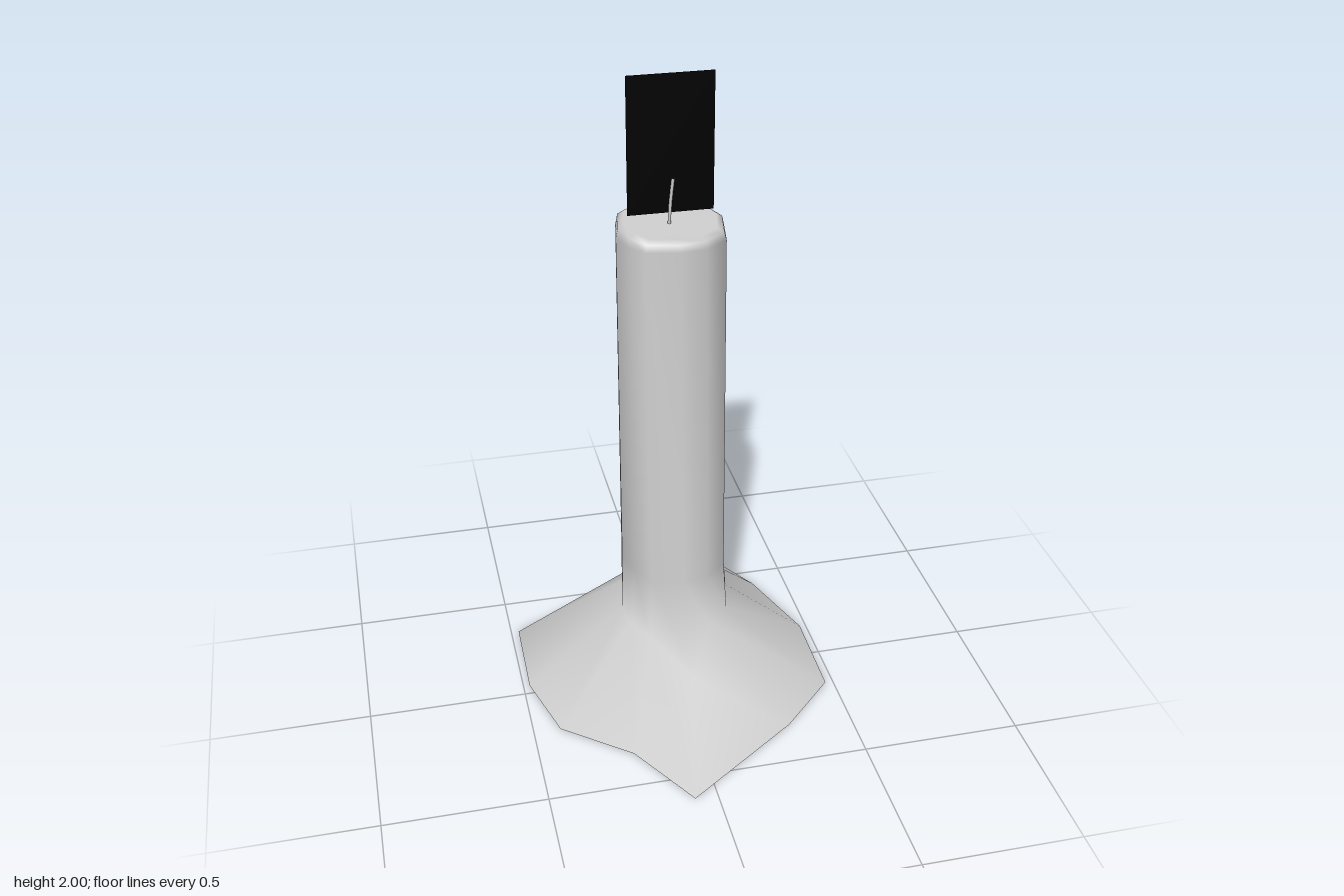
import * as THREE from 'three';

// Columns around the candle, clockwise from the back: [x, z] per level, knee also has y
const skirt = [[0.06, -0.6], [0.29, -0.59], [0.385, -0.43], [0.48, -0.15], [0.475, 0.16], [0.3, 0.335],
  [-0.07, 0.595], [-0.21, 0.36], [-0.415, 0.195], [-0.48, -0.04], [-0.475, -0.335]];
const knee = [[0, 0.26, -0.315], [0.085, 0.26, -0.315], [0.155, 0.25, -0.275], [0.21, 0.22, -0.15],
  [0.185, 0.21, -0.04], [0.11, 0.21, 0.03], [0.02, 0.13, 0.19], [-0.09, 0.19, 0.03],
  [-0.135, 0.19, -0.06], [-0.145, 0.19, -0.14], [-0.125, 0.22, -0.25]];
const shaft = [[-0.01, -0.315], [0.08, -0.312], [0.145, -0.275], [0.19, -0.17], [0.17, -0.06], [0.1, -0.01],
  [0.02, 0], [-0.08, -0.02], [-0.12, -0.07], [-0.143, -0.145], [-0.125, -0.245]];
const cx = 0.025, cz = -0.16;

// Joins rings of points into one smooth skin, closed by a centre point on top
function loft(rings, tip) {
  const n = rings[0].length, index = [];
  for (let r = 0; r < rings.length - 1; r++) {
    for (let i = 0; i < n; i++) {
      const a = r * n + i, b = r * n + (i + 1) % n;
      index.push(a, a + n, b + n, a, b + n, b);
    }
  }
  const last = (rings.length - 1) * n;
  for (let i = 0; i < n; i++) index.push(last + i, rings.length * n, last + (i + 1) % n);
  const geometry = new THREE.BufferGeometry();
  geometry.setAttribute('position', new THREE.Float32BufferAttribute([...rings.flat(2), ...tip], 3));
  geometry.setIndex(index);
  geometry.computeVertexNormals();
  return geometry;
}

export function createModel() {
  const group = new THREE.Group();
  const grey = new THREE.MeshStandardMaterial({ color: 0xcccccc, side: THREE.DoubleSide });
  const black = new THREE.MeshStandardMaterial({ color: 0x000000, side: THREE.DoubleSide });
  const add = (name, geometry, material) => {
    const mesh = new THREE.Mesh(geometry, material);
    mesh.name = name;
    group.add(mesh);
    return mesh;
  };

  // Wax: open melted skirt, leaning shaft, rounded rim and a shallow pool
  const ring = (y, scale, slope = 0) => shaft.map(([x, z]) =>
    [cx + (x - cx) * scale, y - slope * (z - cz), cz + (z - cz) * scale]);
  const neck = shaft.map(([x, z]) => [x, 0.4, z + 0.05 * Math.max(0, (z - cz) / 0.16)]);
  add('wax', loft([
    skirt.map(([x, z]) => [x, 0, z]),
    knee,
    neck,
    ring(1.52, 1),
    ring(1.55, 0.96, 0.06),
    ring(1.563, 0.84, 0.08),
  ], [cx, 1.545, cz]), grey);

  // Wick, slightly bent
  const wickPath = new THREE.CatmullRomCurve3([
    new THREE.Vector3(0.02, 1.54, cz), new THREE.Vector3(0.024, 1.61, cz), new THREE.Vector3(0.032, 1.685, cz)]);
  add('wick', new THREE.TubeGeometry(wickPath, 4, 0.005, 5), grey);

  // Flame card
  add('flame', new THREE.PlaneGeometry(0.26, 0.42), black).position.set(0.025, 1.79, cz);
  return group;
}
